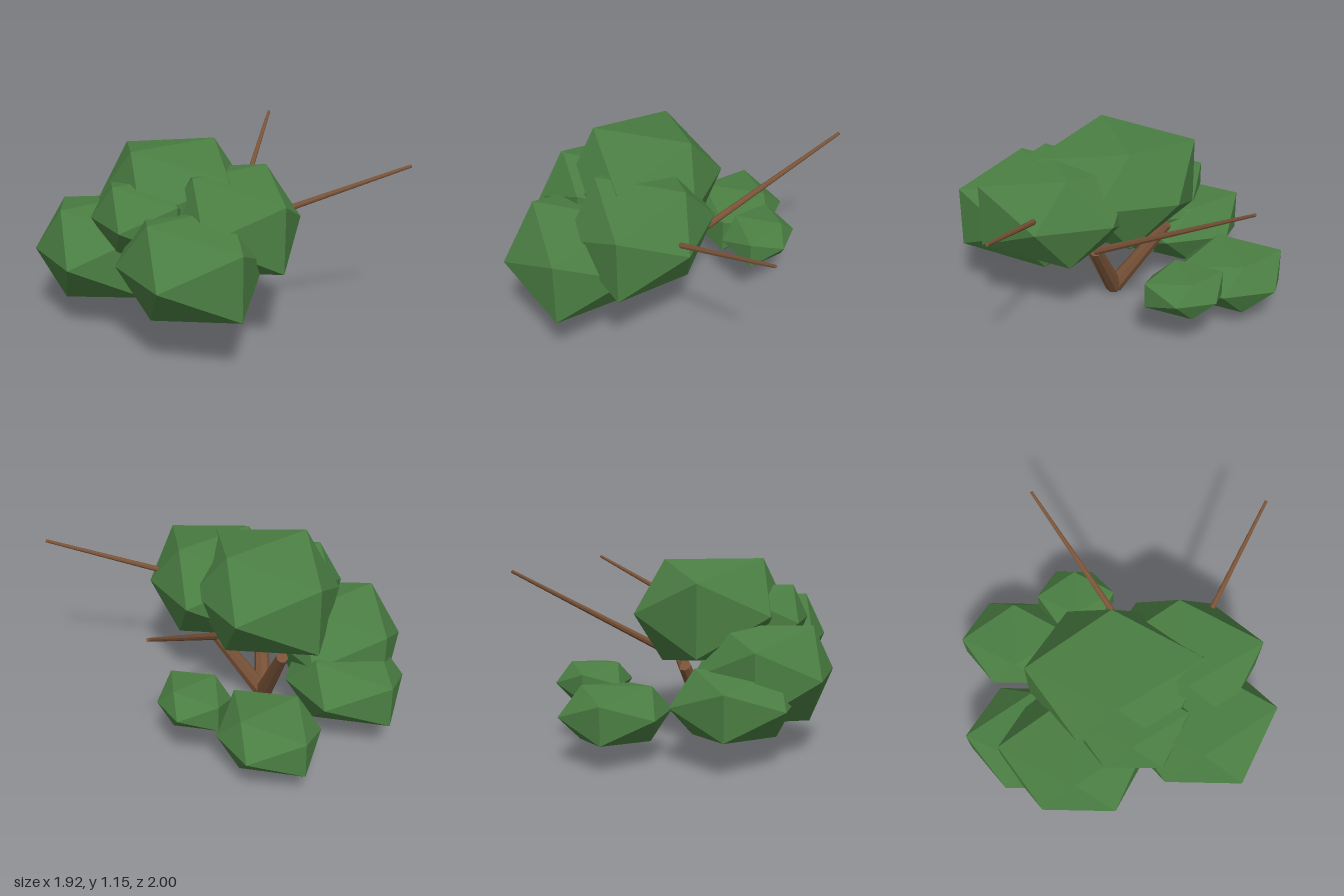
import * as THREE from 'three';

const leafMat = new THREE.MeshStandardMaterial({ color: 0x4b7f43, flatShading: true });
const barkMat = new THREE.MeshStandardMaterial({ color: 0x7a5338, flatShading: true });

// Uneven icosahedron clump; its half extents are 1 before scaling
function clumpGeometry() {
  const geo = new THREE.IcosahedronGeometry(1, 0);
  const pos = geo.attributes.position;
  const sign = (v) => (Math.abs(v) < 0.01 ? 0 : Math.sign(v));
  for (let i = 0; i < pos.count; i++) {
    const x = sign(pos.getX(i)), y = sign(pos.getY(i)), z = sign(pos.getZ(i));
    if (z === 0) {
      const k = x * y < 0 ? 1 : 0.95; // top and bottom ridges
      pos.setXYZ(i, x * 0.73 * k, y * k, 0);
    } else if (x === 0) {
      pos.setXYZ(i, 0, y * 0.67, z); // front and back points
    } else {
      const k = x * z < 0 ? 1 : 0.91; // side points
      pos.setXYZ(i, x * k, 0, z * 0.51 * k);
    }
  }
  geo.computeVertexNormals();
  return geo;
}

// Tapered limb between two points
function limb(name, from, to, r0, r1) {
  const a = new THREE.Vector3(...from), b = new THREE.Vector3(...to);
  const dir = b.clone().sub(a);
  const mesh = new THREE.Mesh(new THREE.CylinderGeometry(r1, r0, dir.length(), 8), barkMat);
  mesh.name = name;
  mesh.position.copy(a).add(b).multiplyScalar(0.5);
  mesh.quaternion.setFromUnitVectors(new THREE.Vector3(0, 1, 0), dir.normalize());
  return mesh;
}

export function createModel() {
  const tree = new THREE.Group();
  tree.name = 'tree';

  // Three trunks spreading from one foot, two of them with a thin branch
  const foot = [-0.2, 0.03, 0];
  const rightFork = [0.04, 0.46, 0.19], leftFork = [-0.37, 0.6, 0.26];
  tree.add(
    limb('frontTrunk', foot, rightFork, 0.058, 0.038),
    limb('sideTrunk', foot, leftFork, 0.058, 0.038),
    limb('backTrunk', foot, [-0.09, 0.51, -0.33], 0.058, 0.038),
    limb('backBranch', rightFork, [0.95, 1.08, -0.47], 0.026, 0.01),
    limb('frontBranch', leftFork, [0.81, 1.06, 0.99], 0.026, 0.01),
  );

  // Leaf clumps: centre, then half extents
  const geo = clumpGeometry();
  const clumps = [
    ['topClump', -0.2, 0.815, -0.015, 0.44, 0.332, 0.535],
    ['frontClump', -0.09, 0.757, 0.4, 0.39, 0.302, 0.49],
    ['frontSideClump', -0.45, 0.58, 0.48, 0.41, 0.297, 0.48],
    ['backSideClump', -0.57, 0.48, -0.29, 0.395, 0.295, 0.46],
    ['innerClump', -0.49, 0.76, 0.055, 0.29, 0.22, 0.355],
    ['lowBackClump', -0.43, 0.345, -0.54, 0.35, 0.202, 0.43],
    ['cornerClump', 0.26, 0.277, -0.65, 0.3, 0.168, 0.35],
    ['smallClump', 0.51, 0.38, -0.235, 0.212, 0.122, 0.253],
  ];
  for (const [name, x, y, z, hx, hy, hz] of clumps) {
    const mesh = new THREE.Mesh(geo, leafMat);
    mesh.name = name;
    mesh.position.set(x, y, z);
    mesh.scale.set(hx, hy, hz);
    tree.add(mesh);
  }
  return tree;
}
